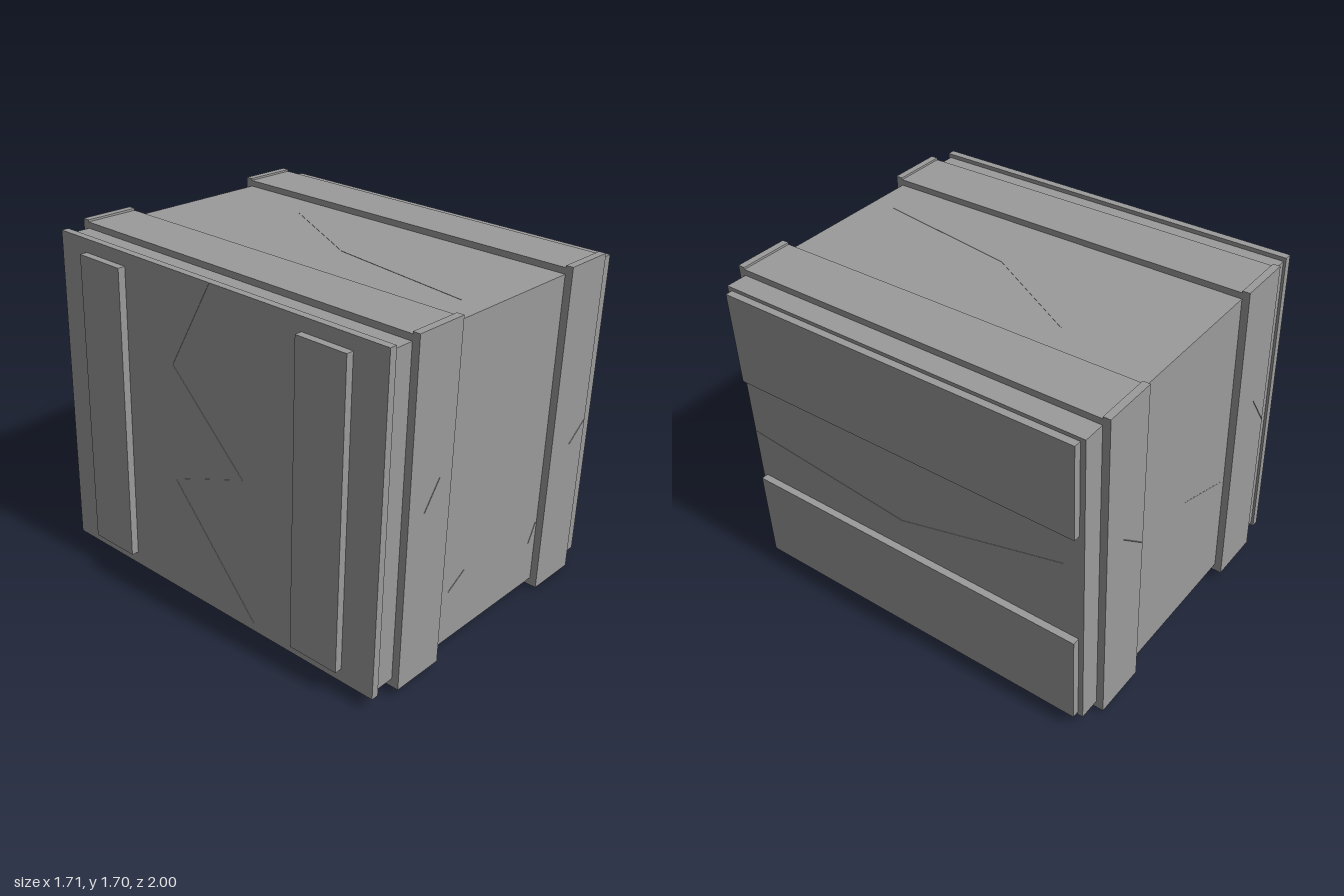
import * as THREE from 'three';

export function createModel() {
  const root = new THREE.Group();
  root.name = 'crate';
  const material = new THREE.MeshStandardMaterial({ color: 0x9b9b9b, flatShading: true });

  // The whole crate leans slightly, so parts are placed in a tilted group
  const crate = new THREE.Group();
  crate.name = 'tiltedCrate';
  crate.position.set(0.017, 0.85, 0);
  crate.rotation.set(0.0105, 0, -0.03);
  root.add(crate);

  function board(name, size, position) {
    const mesh = new THREE.Mesh(new THREE.BoxGeometry(...size), material);
    mesh.name = name;
    mesh.position.set(...position);
    crate.add(mesh);
    return mesh;
  }

  // Main box
  board('body', [1.56, 1.56, 1.91], [0, 0, 0]);

  // End panel that stands a little proud of the box on the -x end
  board('endPanel', [0.037, 1.6, 1.935], [-0.7975, 0, 0]);

  for (const s of [-1, 1]) {
    // Bands: planks over top and bottom, closed by slightly taller front and back planks
    const side = s < 0 ? 'right' : 'left';
    board(side + 'Band', [0.275, 1.63, 1.91], [s * 0.534, -0.005, 0]);
    for (const f of [-1, 1]) {
      board(side + (f < 0 ? 'BackPlank' : 'FrontPlank'), [0.275, 1.64, 0.036], [s * 0.534, 0, f * 0.973]);
    }
    // Upright battens on the end panel
    board(s < 0 ? 'backBatten' : 'frontBatten', [0.037, 1.47, 0.265], [-0.8345, 0, s * 0.66]);
    // Horizontal planks on the +x end
    board(s < 0 ? 'lowerPlank' : 'upperPlank', [0.036, 0.47, 1.86], [0.798, s * 0.528, 0]);
  }

  // Hairline cracks: thin slivers following a path on a face
  function crack(name, path) {
    const points = path.map((p) => new THREE.Vector3(...p));
    for (let i = 1; i < points.length; i++) {
      const [a, b] = [points[i - 1], points[i]];
      const middle = a.clone().lerp(b, 0.5).toArray();
      const sliver = board(name, [0.003, 0.003, a.distanceTo(b)], middle);
      sliver.quaternion.setFromUnitVectors(new THREE.Vector3(0, 0, 1), b.clone().sub(a).normalize());
    }
  }
  crack('frontCrack', [[-0.57, 0.01, 0.991], [-0.48, 0.14, 0.991]]);
  crack('frontCrack', [[0.55, -0.09, 0.991], [0.667, 0, 0.991]]);
  crack('frontCrack', [[0.34, -0.56, 0.955], [0.385, -0.46, 0.955]]);
  crack('frontCrack', [[-0.3, -0.52, 0.955], [-0.19, -0.455, 0.955]]);
  crack('backCrack', [[0.55, 0.13, -0.991], [0.4, 0, -0.991]]);
  crack('backCrack', [[-0.02, -0.1, -0.955], [-0.37, -0.22, -0.955]]);
  crack('backCrack', [[-0.55, 0.16, -0.991], [-0.67, -0.02, -0.991]]);
  crack('plankEndCrack', [[0.78, -0.03, 0.95], [0.78, -0.13, 0.03], [0.78, 0.1, -0.85]]);
  crack('topCrack', [[0.22, 0.78, -0.45], [-0.07, 0.78, 0.08], [-0.185, 0.78, 0.83]]);
  crack('bottomCrack', [[0.23, -0.78, -0.91], [-0.09, -0.78, -0.44], [-0.02, -0.78, 0.08],
    [-0.29, -0.78, 0.43], [-0.12, -0.78, 0.95]]);
  crack('endPanelCrack', [[-0.816, 0.8, 0.01], [-0.816, 0.36, -0.23], [-0.816, -0.05, 0.2],
    [-0.816, -0.21, -0.23], [-0.816, -0.76, 0.27]]);
  return root;
}
